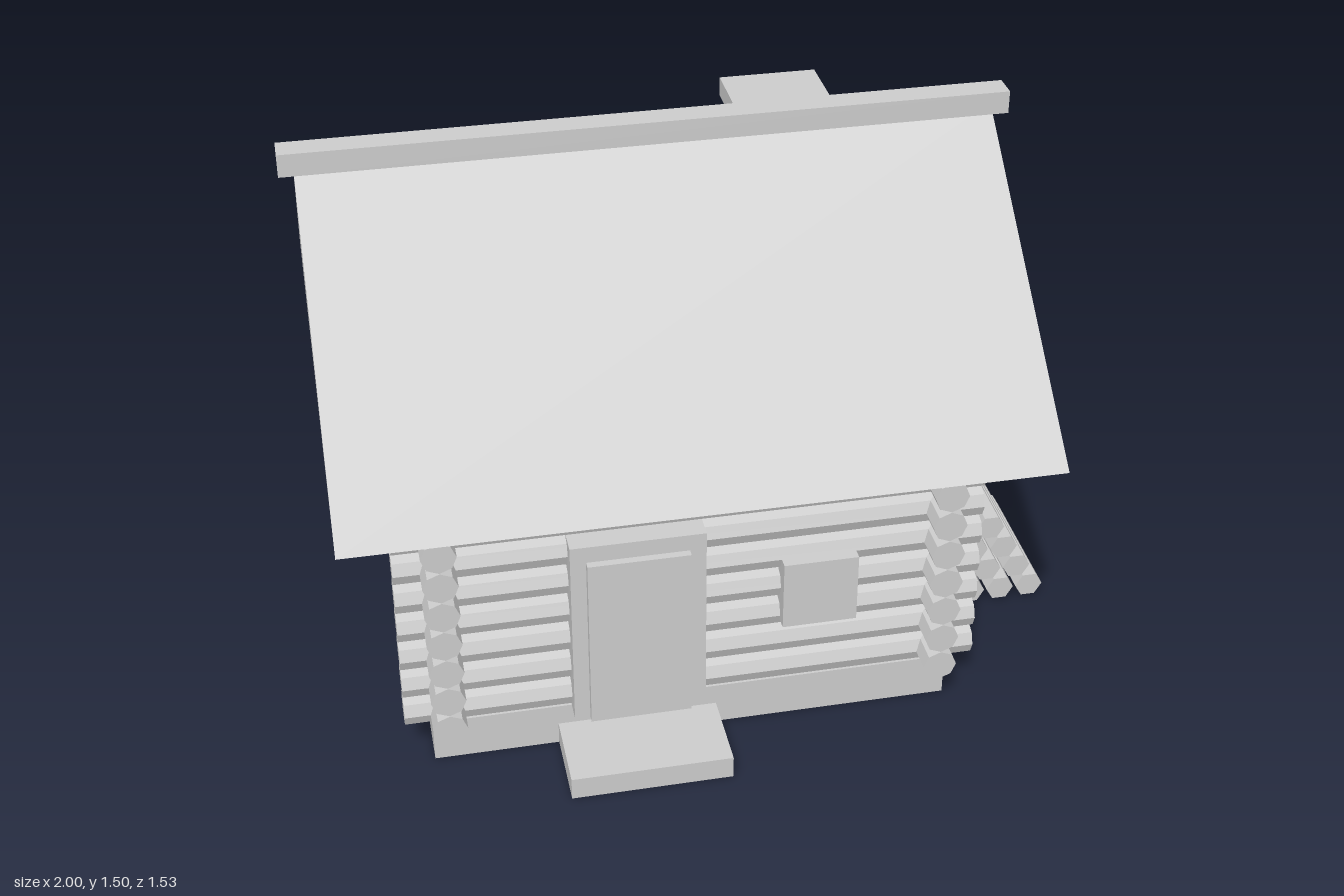
import * as THREE from 'three';

export function createModel() {
  const cabin = new THREE.Group();
  cabin.name = 'logCabin';
  const grey = new THREE.MeshStandardMaterial({ color: 0xcccccc, flatShading: true });
  grey.name = 'lightGrey';

  const add = (name, geometry, parent = cabin) => {
    const mesh = new THREE.Mesh(geometry, grey);
    mesh.name = name;
    parent.add(mesh);
    return mesh;
  };
  const group = (name) => {
    const g = new THREE.Group();
    g.name = name;
    cabin.add(g);
    return g;
  };
  // Box given by its lower and upper limits on each axis
  const box = (name, [x0, x1], [y0, y1], [z0, z1], parent) =>
    add(name, new THREE.BoxGeometry(x1 - x0, y1 - y0, z1 - z0), parent)
      .position.set((x0 + x1) / 2, (y0 + y1) / 2, (z0 + z1) / 2);

  // Base and doorstep
  box('foundation', [-0.76, 0.6], [0, 0.12], [-0.546, 0.546]);
  box('doorstep', [-0.437, -0.02], [0, 0.062], [0.54, 0.763]);

  // Log walls, crossing at the corners
  const walls = group('logWalls');
  const midX = -0.08, logR = 0.044;
  const longLog = new THREE.CylinderGeometry(logR, logR, 1.5, 8).rotateZ(Math.PI / 2);
  const sideLog = new THREE.CylinderGeometry(logR, logR, 1.256, 8).rotateX(Math.PI / 2);
  for (let i = 0; i < 8; i++) {
    const y = 0.16 + i * 0.0893;
    for (const s of [-1, 1]) {
      add(s > 0 ? 'frontLog' : 'backLog', longLog, walls).position.set(midX, y, s * 0.518);
      add(s > 0 ? 'leftLog' : 'rightLog', sideLog, walls).position.set(midX + s * 0.64, y, 0);
    }
  }

  // Door and window
  box('doorFrame', [-0.4, -0.058], [0.115, 0.653], [0.52, 0.595]);
  box('doorPanel', [-0.36, -0.1], [0.115, 0.607], [0.53, 0.615]);
  box('window', [0.143, 0.337], [0.323, 0.518], [0.52, 0.59]);

  // Solid gable roof, profile in z and y, extruded along x
  const gable = new THREE.Shape([
    new THREE.Vector2(-0.763, 0.83),
    new THREE.Vector2(0.763, 0.83),
    new THREE.Vector2(0, 1.463),
  ]);
  add('roof', new THREE.ExtrudeGeometry(gable, { depth: 1.764, bevelEnabled: false }).rotateY(Math.PI / 2))
    .position.x = -0.962;
  box('ridgeBeam', [-1, 0.84], [1.445, 1.505], [-0.035, 0.035]);

  // Chimney on the back slope
  box('chimneyStack', [0.2, 0.375], [1.15, 1.41], [-0.262, -0.087]);
  box('chimneyCap', [0.16, 0.415], [1.405, 1.455], [-0.3, -0.043]);

  // Stacked firewood
  const pile = group('firewoodPile');
  const billet = new THREE.CylinderGeometry(0.039, 0.039, 0.394, 6, 1, false, Math.PI / 2).rotateX(Math.PI / 2);
  for (let row = 0; row < 4; row++) {
    for (let i = 0; i < 4 - row; i++) {
      add('firewood', billet, pile).position.set(0.706 + i * 0.085 + row * 0.0425, 0.04 + row * 0.0717, 0);
    }
  }
  return cabin;
}
